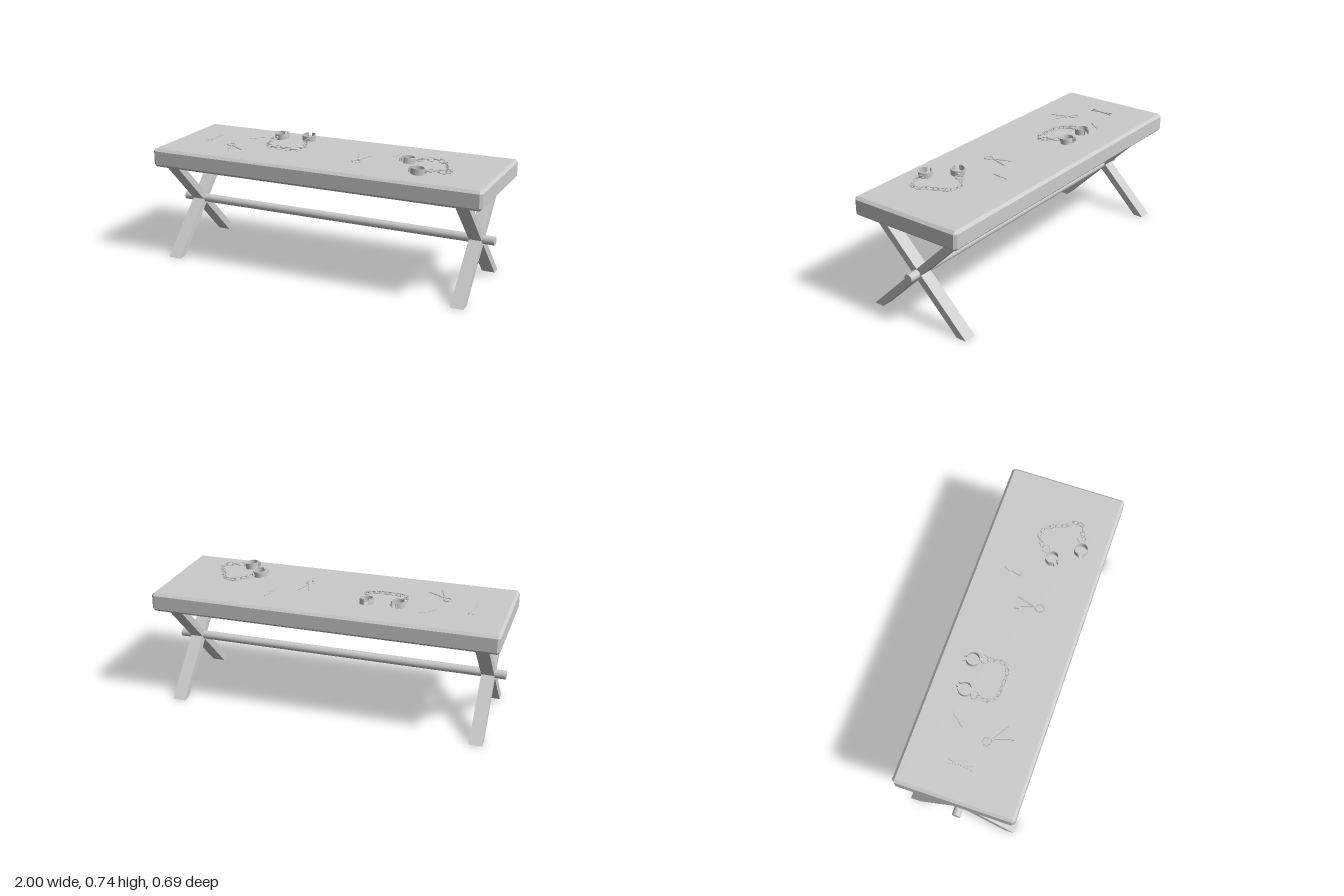
import * as THREE from 'three';
import { ConvexGeometry } from 'three/addons/geometries/ConvexGeometry.js';

const TOP = 0.675;
const flat = new THREE.MeshStandardMaterial({ color: 0xcccccc, flatShading: true });
const smooth = new THREE.MeshStandardMaterial({ color: 0xcccccc });
const v = (x, y, z) => new THREE.Vector3(x, y, z);

function add(parent, name, geometry, material = flat) {
  const mesh = new THREE.Mesh(geometry, material);
  mesh.name = name;
  parent.add(mesh);
  return mesh;
}

function group(parent, name) {
  const g = new THREE.Group();
  g.name = name;
  parent.add(g);
  return g;
}

// Box with every edge cut at 45 degrees
function chamferBox(w, h, d, c) {
  const points = [];
  for (const x of [-w / 2, w / 2]) for (const y of [-h / 2, h / 2]) for (const z of [-d / 2, d / 2]) {
    const sx = Math.sign(x) * c, sy = Math.sign(y) * c, sz = Math.sign(z) * c;
    points.push(v(x, y - sy, z - sz), v(x - sx, y, z - sz), v(x - sx, y - sy, z));
  }
  return new ConvexGeometry(points);
}

// Slanted leg bar, cut level at floor and underside of the top
function legGeometry(side) {
  const corners = [[0.322, 0], [0.262, 0], [-0.308, 0.57], [-0.248, 0.57]];
  const shape = new THREE.Shape(corners.map(([z, y]) => new THREE.Vector2(z * side, y)));
  return new THREE.ExtrudeGeometry(shape, { depth: 0.075, bevelEnabled: false })
    .translate(0, 0, -0.0375).rotateY(-Math.PI / 2);
}

// Stadium-shaped chain link, long axis on x
function linkGeometry() {
  const path = new THREE.CurvePath(), points = [];
  for (let i = 0; i < 16; i++) {
    const a = (i + 0.5) / 16 * Math.PI * 2;
    points.push(v(Math.sign(Math.cos(a)) * 0.011 + Math.cos(a) * 0.01, 0, Math.sin(a) * 0.01));
  }
  return new THREE.TubeGeometry(new THREE.CatmullRomCurve3(points, true), 28, 0.0027, 6, true);
}

// Open band, gap centred on +x
function bandGeometry() {
  const gap = 0.35, shape = new THREE.Shape();
  shape.absarc(0, 0, 0.04, gap, Math.PI * 2 - gap, false);
  shape.absarc(0, 0, 0.035, Math.PI * 2 - gap, gap, true);
  return new THREE.ExtrudeGeometry(shape, { depth: 0.034, bevelEnabled: false, curveSegments: 20 })
    .translate(0, 0, -0.017).rotateX(-Math.PI / 2);
}

const link = linkGeometry();
const band = bandGeometry();

// Cuff with flanges at the gap, a lug, and a ring on the chain side
function addCuff(parent, { at, ring, y, tilt }) {
  const cuff = group(parent, 'cuff');
  cuff.position.set(at[0], y, at[1]);
  cuff.rotation.y = Math.atan2(ring[1] - at[1], at[0] - ring[0]);
  cuff.rotation.z = tilt;
  add(cuff, 'cuffBand', band);
  for (const s of [-1, 1]) {
    add(cuff, 'cuffFlange', new THREE.BoxGeometry(0.014, 0.024, 0.004)).position.set(0.043, 0, s * 0.0125);
  }
  add(cuff, 'cuffLug', new THREE.BoxGeometry(0.012, 0.014, 0.014)).position.set(-0.043, 0, 0);
  const loop = add(parent, 'cuffRing', new THREE.TorusGeometry(0.022, 0.003, 6, 20).rotateX(Math.PI / 2), smooth);
  loop.position.set(ring[0], 0.705, ring[1]);
}

// Pair of cuffs joined by a chain of alternating links
function addShackles(parent, cuffs, path, count) {
  const set = group(parent, 'shackles');
  cuffs.forEach(c => addCuff(set, c));
  const curve = new THREE.CatmullRomCurve3(path.map(([x, y, z]) => v(x, y, z)));
  for (let i = 0; i < count; i++) {
    const t = i / (count - 1);
    const mesh = add(set, 'chainLink', link, smooth);
    mesh.position.copy(curve.getPointAt(t));
    mesh.quaternion.setFromUnitVectors(v(1, 0, 0), curve.getTangentAt(t));
    mesh.rotateX(i % 2 ? 1.1 : -0.4);
  }
}

function rod(points, radius) {
  const curve = new THREE.CatmullRomCurve3(points.map(([x, z]) => v(x, 0, z)));
  return new THREE.TubeGeometry(curve, 14, radius, 6);
}

// Pincers lying flat: handles toward local +z, curved jaws toward -z
function addPincers(parent, x, z, turn, spread) {
  const tool = group(parent, 'pincers');
  tool.position.set(x, TOP + 0.002, z);
  tool.rotation.y = turn;
  for (const s of [-1, 1]) {
    const half = [[s * spread, 0.108], [s * spread * 0.45, 0.05], [0, 0], [-s * 0.021, -0.022], [-s * 0.019, -0.045], [-s * 0.004, -0.058]];
    add(tool, 'pincerArm', rod(half, 0.004), smooth);
  }
  add(tool, 'pincerPivot', new THREE.CylinderGeometry(0.006, 0.006, 0.008, 10));
}

// Short curved blade on a thicker grip
function addHook(parent, x, z, dx, dz) {
  const tool = group(parent, 'hookedKnife');
  tool.position.set(x, TOP + 0.002, z);
  tool.rotation.y = Math.atan2(dx, dz);
  add(tool, 'grip', rod([[0, -0.055], [0.003, -0.03], [0, 0]], 0.0045), smooth);
  add(tool, 'blade', rod([[0, 0], [0.006, 0.02], [0.004, 0.04], [-0.008, 0.055]], 0.0028), smooth);
}

export function createModel() {
  const model = new THREE.Group();
  model.name = 'table';

  // Table frame
  add(model, 'tableTop', chamferBox(2, 0.11, 0.69, 0.015)).position.y = 0.62;
  for (const x of [-0.9, 0.88]) {
    for (const side of [-1, 1]) add(model, 'crossLeg', legGeometry(side)).position.x = x;
  }
  const bar = new THREE.CylinderGeometry(0.025, 0.025, 1.985, 24).rotateZ(Math.PI / 2);
  add(model, 'stretcherBar', bar, smooth).position.set(-0.0075, 0.293, 0);

  // Two sets of shackles
  addShackles(model, [
    { at: [-0.4, -0.142], ring: [-0.418, -0.08], y: 0.707, tilt: 0.08 },
    { at: [-0.225, -0.158], ring: [-0.208, -0.095], y: 0.711, tilt: 0.12 },
  ], [
    [-0.419, 0.7, -0.05], [-0.419, 0.69, -0.005], [-0.395, 0.685, 0.028], [-0.31, 0.685, 0.042],
    [-0.215, 0.685, 0.036], [-0.185, 0.692, -0.005], [-0.196, 0.7, -0.06],
  ], 13);
  addShackles(model, [
    { at: [0.49, 0.062], ring: [0.538, 0.012], y: 0.714, tilt: 0.12 },
    { at: [0.597, 0.202], ring: [0.661, 0.186], y: 0.702, tilt: 0.1 },
  ], [
    [0.56, 0.705, -0.02], [0.605, 0.7, -0.052], [0.665, 0.695, -0.035], [0.7, 0.695, 0.015],
    [0.717, 0.695, 0.065], [0.755, 0.695, 0.115], [0.75, 0.7, 0.158], [0.695, 0.705, 0.182],
  ], 13);

  // Hand tools lying on the top
  addPincers(model, -0.612, 0.092, 0.68, 0.042);
  addPincers(model, 0.188, 0.06, Math.PI + 0.03, 0.037);
  addHook(model, -0.565, -0.125, 0.08, -0.09);
  addHook(model, 0.357, -0.125, 0.02, -0.11);
  const tongs = group(model, 'tongs');
  tongs.position.set(-0.796, TOP + 0.002, -0.03);
  for (const s of [-1, 1]) {
    add(tongs, 'tongArm', new THREE.BoxGeometry(0.008, 0.007, 0.145)).rotation.y = s * 0.17;
  }
  return model;
}
